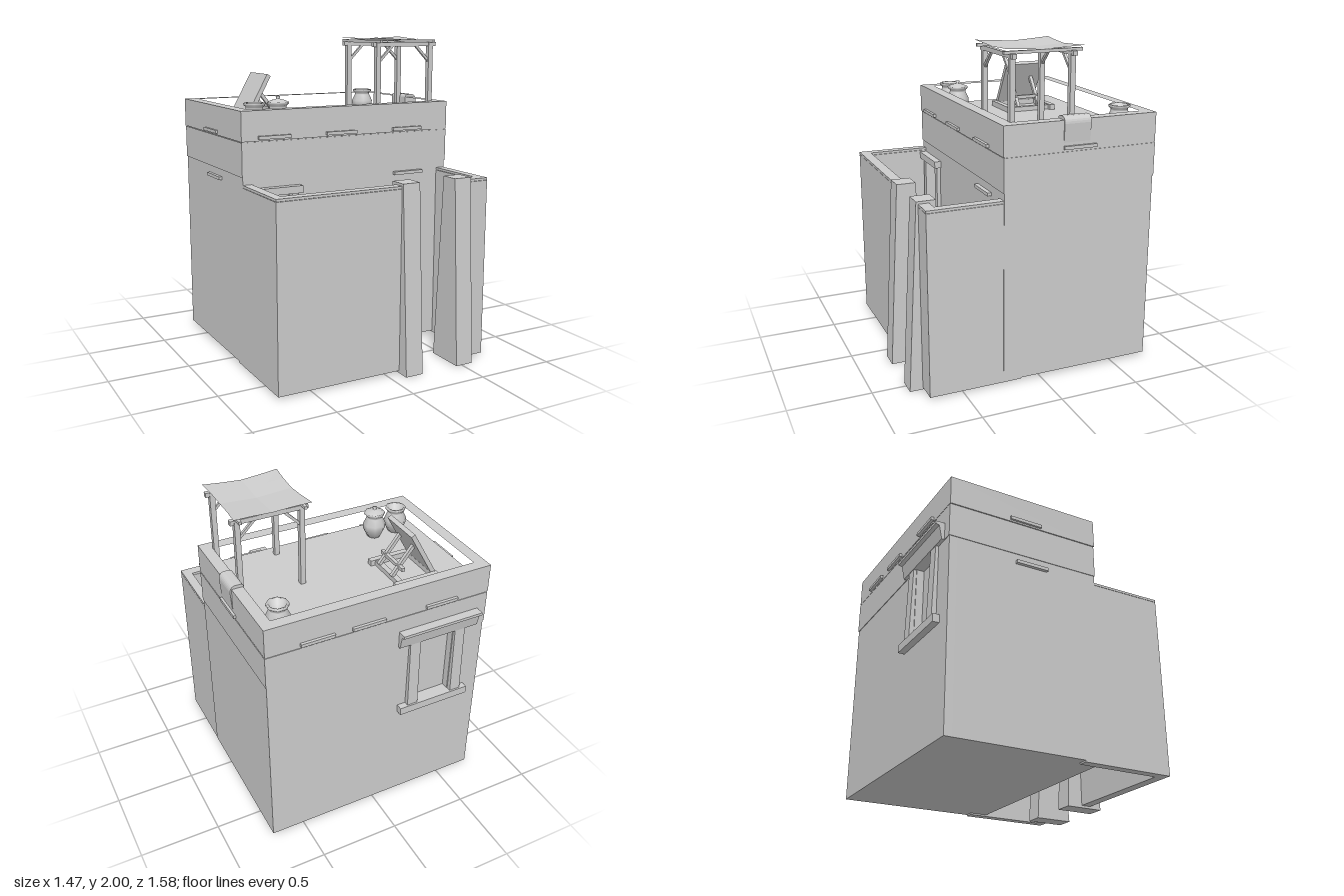
import * as THREE from 'three';

export function createModel() {
  const model = new THREE.Group();
  const clay = new THREE.MeshStandardMaterial({ color: 0xcccccc });
  clay.name = 'clay';
  const clayThin = clay.clone();
  clayThin.name = 'clay cloth';
  clayThin.side = THREE.DoubleSide;

  const add = (name, geo, mat = clay, parent = model) => {
    const m = new THREE.Mesh(geo, mat);
    m.name = name;
    parent.add(m);
    return m;
  };
  // box from its minimum and maximum corners
  const box = (name, x0, x1, y0, y1, z0, z1) => {
    const m = add(name, new THREE.BoxGeometry(x1 - x0, y1 - y0, z1 - z0));
    m.position.set((x0 + x1) / 2, (y0 + y1) / 2, (z0 + z1) / 2);
    return m;
  };
  const poly = (pts) => pts.map(([a, b]) => new THREE.Vector2(a, b));
  const rect = (x0, x1, y0, y1) => poly([[x0, y0], [x1, y0], [x1, y1], [x0, y1]]);
  const extrude = (pts, depth, hole) => {
    const s = new THREE.Shape(pts);
    if (hole) s.holes.push(new THREE.Path(hole));
    return new THREE.ExtrudeGeometry(s, { depth, bevelEnabled: false });
  };
  // floor plan of [x, z] points raised from y0 to y1
  const plan = (name, pts, y0, y1, hole) => {
    const flip = (a) => a && a.map((p) => new THREE.Vector2(p.x, -p.y));
    return add(name, extrude(flip(pts), y1 - y0, flip(hole)).rotateX(-Math.PI / 2).translate(0, y0, 0));
  };
  // side profile of [z, y] points run from x0 to x1
  const prism = (name, x0, x1, pts) =>
    add(name, extrude(poly(pts), x1 - x0).rotateY(-Math.PI / 2).translate(x1, 0, 0));
  // square bar between two points
  const bar = (name, a, b, w, d = w) => {
    const p = new THREE.Vector3(...a), q = new THREE.Vector3(...b);
    const m = add(name, new THREE.BoxGeometry(w, p.distanceTo(q), d));
    m.position.copy(p).add(q).multiplyScalar(0.5);
    m.quaternion.setFromUnitVectors(new THREE.Vector3(0, 1, 0), q.sub(p).normalize());
    return m;
  };

  // house body, with a window hole behind and a door hole in front
  box('houseCore', -0.717, 0.717, 0.025, 1.45, -0.68, 0.2);
  add('backWall', extrude(rect(-0.717, 0.717, 0.025, 1.45), 0.047, rect(-0.5, -0.27, 0.745, 1.2)).translate(0, 0, -0.727));
  add('frontWall', extrude(rect(-0.717, 0.717, 0.025, 1.45), 0.047, rect(-0.6, -0.4, 0.5, 1.09)).translate(0, 0, 0.2));

  // upper courses and roof parapet
  const inner = rect(-0.65, 0.65, -0.66, 0.18);
  plan('wallCourse', rect(-0.721, 0.721, -0.731, 0.251), 1.2, 1.405, inner);
  plan('parapet', rect(-0.724, 0.72, -0.73, 0.255), 1.41, 1.59, inner);

  // flat projecting slabs around the walls
  for (const x of [-0.515, -0.065, 0.41]) box('frontSlab', x - 0.105, x + 0.105, 1.42, 1.44, 0.23, 0.273);
  for (const x of [-0.395, 0.085, 0.405]) box('backSlab', x - 0.105, x + 0.105, 1.42, 1.44, -0.748, -0.71);
  box('lowFrontSlab', 0.32, 0.53, 1.135, 1.155, 0.23, 0.273);
  box('leftSlab', 0.7, 0.735, 1.42, 1.44, -0.33, -0.12);
  box('rightSlab', -0.737, -0.7, 1.42, 1.44, -0.34, -0.13);
  box('lowRightSlab', -0.737, -0.7, 1.135, 1.155, -0.3, -0.09);

  // rounded patch over the parapet
  const patch = new THREE.Shape(poly([[0.645, 1.47], [0.645, 1.59]]));
  patch.quadraticCurveTo(0.648, 1.61, 0.67, 1.61);
  patch.lineTo(0.7, 1.61);
  patch.quadraticCurveTo(0.728, 1.605, 0.73, 1.57);
  patch.lineTo(0.722, 1.46);
  add('parapetPatch', new THREE.ExtrudeGeometry(patch, { depth: 0.17, bevelEnabled: false, curveSegments: 5 }).translate(0, 0, -0.29));

  // back window frame
  prism('windowHood', -0.66, -0.12, [[-0.72, 1.2], [-0.748, 1.2], [-0.765, 1.285], [-0.788, 1.29], [-0.788, 1.308], [-0.72, 1.308]]);
  for (const x of [-0.54, -0.23]) {
    prism('windowPost', x - 0.035, x + 0.035, [[-0.72, 0.74], [-0.757, 0.74], [-0.745, 1.21], [-0.72, 1.21]]);
  }
  box('windowSill', -0.62, -0.14, 0.695, 0.745, -0.768, -0.71);

  // doorway frame in the courtyard
  box('doorLintel', -0.655, -0.345, 1.085, 1.13, 0.22, 0.292);
  for (const x of [-0.615, -0.385]) box('doorPost', x - 0.022, x + 0.022, 0.5, 1.09, 0.22, 0.272);

  // courtyard walls and their caps
  const walls = [
    [[-0.717, 0.13], [-0.717, 0.71], [0.12, 0.71], [0.12, 0.645], [-0.66, 0.645], [-0.66, 0.13]],
    [[0.712, 0.13], [0.712, 0.71], [0.55, 0.71], [0.55, 0.645], [0.655, 0.645], [0.655, 0.13]],
  ];
  for (const w of walls) {
    plan('courtyardWall', poly(w), 0.015, 1.138);
    plan('wallCap', poly(w), 1.14, 1.155);
  }
  // battered gate pillars
  for (const x of [0.09, 0.46]) {
    prism('gatePillar', x, x + 0.117, [[0.54, 0], [0.79, 0], [0.722, 1.17], [0.605, 1.17]]);
  }

  // landing and stairs as one folded surface, open underneath
  const steps = [[-0.66, 0.5], [-0.33, 0.5]];
  for (let i = 1; i <= 4; i++) {
    const x = -0.33 + (i - 1) * 0.045;
    steps.push([x, 0.5 - i * 0.05], [x + 0.045, 0.5 - i * 0.05]);
  }
  steps.push([-0.095, 0.13], [-0.04, 0.02]);
  const pos = [];
  for (let i = 0; i + 1 < steps.length; i++) {
    const [a, b] = steps[i], [c, d] = steps[i + 1], z0 = 0.247, z1 = 0.645;
    pos.push(a, b, z0, a, b, z1, c, d, z1, a, b, z0, c, d, z1, c, d, z0);
  }
  const stairs = new THREE.BufferGeometry();
  stairs.setAttribute('position', new THREE.Float32BufferAttribute(pos, 3));
  stairs.computeVertexNormals();
  add('stairs', stairs);

  // roof canopy: posts, braces, rails and sagging cloth
  const px = [0.243, 0.635], pz = [-0.205, 0.17];
  px.forEach((x, i) => pz.forEach((z, j) => {
    box('canopyPost', x - 0.016, x + 0.016, 1.45, 1.965, z - 0.016, z + 0.016);
    const s = i ? -1 : 1;
    bar('canopyBrace', [x, 1.84, z], [x + s * 0.11, 1.95, z], 0.016);
  }));
  for (const z of pz) box('canopyRail', 0.205, 0.675, 1.943, 1.97, z - 0.014, z + 0.014);
  for (const x of px) bar('canopyPole', [x, 1.975, -0.268], [x, 1.975, 0.22], 0.018);
  const cloth = new THREE.PlaneGeometry(0.47, 0.48, 4, 4).rotateX(-Math.PI / 2);
  const cp = cloth.attributes.position;
  for (let i = 0; i < cp.count; i++) {
    const u = cp.getX(i) / 0.235, v = cp.getZ(i) / 0.24;
    const pinch = (t) => 1 - 0.06 * (1 - t * t);
    cp.setXYZ(i, 0.437 + u * 0.235 * pinch(v), 1.972 + 0.014 * (Math.abs(u) + Math.abs(v)), -0.025 + v * 0.24 * pinch(u));
  }
  const flatCloth = cloth.toNonIndexed();
  flatCloth.computeVertexNormals();
  add('canopyCloth', flatCloth, clayThin);

  // roof hatch: floor frame, raised lid and props
  for (const z of [-0.515, -0.212]) box('hatchSide', -0.505, -0.21, 1.45, 1.485, z - 0.018, z + 0.018);
  box('hatchEnd', -0.275, -0.24, 1.45, 1.48, -0.5, -0.22);
  box('hatchBack', -0.505, -0.47, 1.45, 1.48, -0.5, -0.22);
  bar('hatchLid', [-0.487, 1.48, -0.357], [-0.33, 1.762, -0.357], 0.028, 0.27);
  for (const z of [-0.425, -0.275]) bar('hatchProp', [-0.39, 1.67, z], [-0.24, 1.48, z], 0.022);
  bar('hatchPropBar', [-0.285, 1.54, -0.48], [-0.285, 1.54, -0.235], 0.022);

  // eight-sided jars
  const profile = poly([[0, 0], [0.042, 0], [0.07, 0.055], [0.073, 0.09], [0.052, 0.135], [0.052, 0.145],
    [0.066, 0.158], [0.066, 0.17], [0.052, 0.17], [0.042, 0.14], [0, 0.12]]);
  const lid = poly([[0.062, 0.168], [0.045, 0.18], [0.014, 0.186], [0.01, 0.192], [0.014, 0.205], [0, 0.207]]);
  const jar = (x, y, z, closed) => {
    const g = new THREE.Group();
    g.name = 'jar';
    add('jarBody', new THREE.LatheGeometry(profile, 8, Math.PI / 8), clay, g);
    if (closed) add('jarLid', new THREE.LatheGeometry(lid, 8, Math.PI / 8), clay, g);
    g.position.set(x, y, z);
    model.add(g);
  };
  jar(-0.57, 1.45, 0.095);
  jar(-0.415, 1.45, 0.095, true);
  jar(0.565, 1.45, -0.57);
  jar(-0.577, 0.5, 0.553);

  return model;
}
